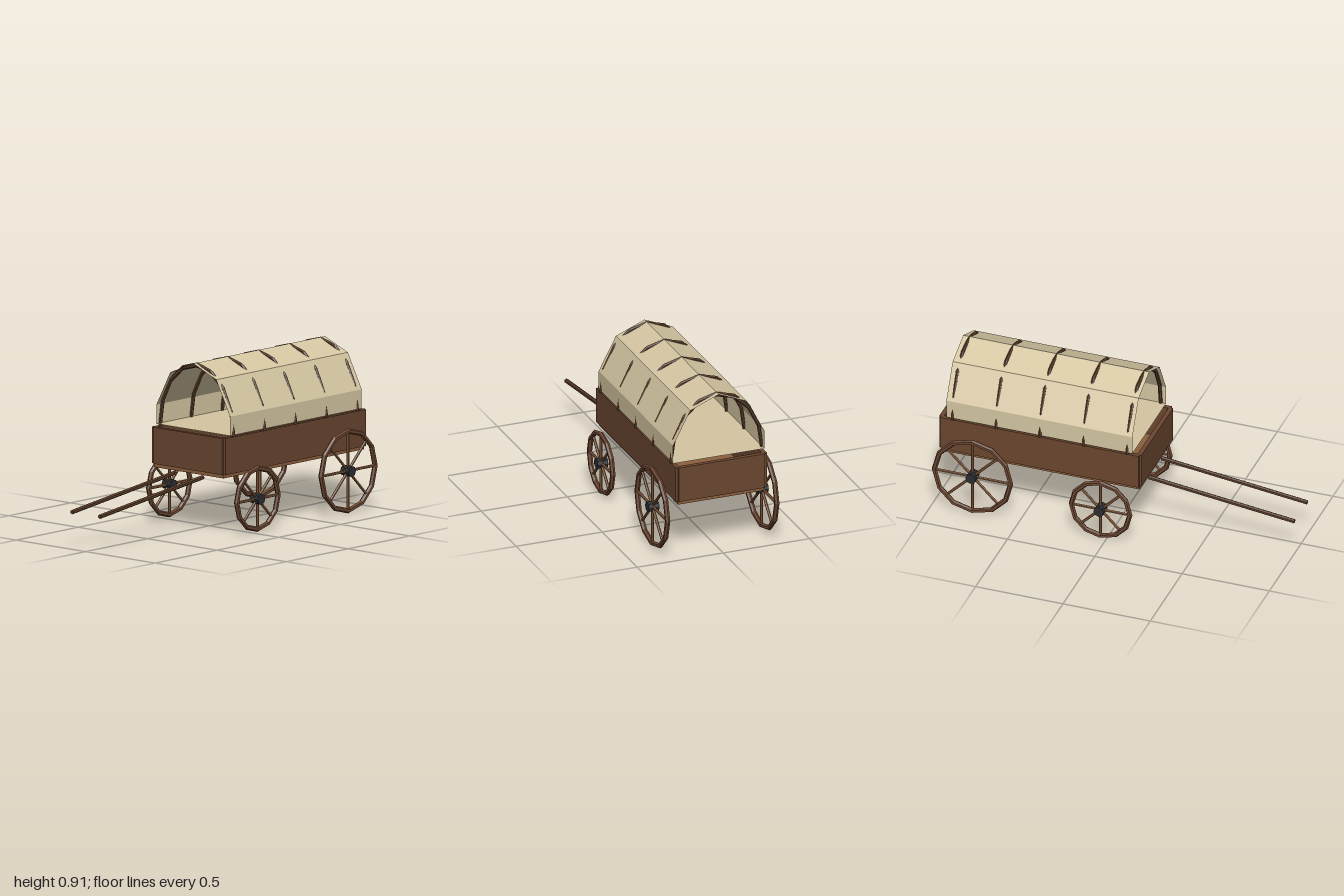
import * as THREE from 'three';

const mat = (color, side = THREE.FrontSide) =>
  new THREE.MeshStandardMaterial({ color, side, flatShading: true });

const wood = mat(0x6b4630);
const lightWood = mat(0x8b5e3c);
const darkWood = mat(0x5a3c28);
const iron = mat(0x2b2d31);
const canvas = mat(0xd6c7a3, THREE.DoubleSide);

function add(parent, name, geometry, material, x = 0, y = 0, z = 0) {
  const mesh = new THREE.Mesh(geometry, material);
  mesh.name = name;
  mesh.position.set(x, y, z);
  parent.add(mesh);
  return mesh;
}

// Round bar between two points
function bar(parent, name, a, b, radius, sides, material) {
  const dir = b.clone().sub(a);
  const mesh = add(parent, name, new THREE.CylinderGeometry(radius, radius, dir.length(), sides), material);
  mesh.position.copy(a).add(b).multiplyScalar(0.5);
  mesh.quaternion.setFromUnitVectors(new THREE.Vector3(0, 1, 0), dir.normalize());
  return mesh;
}

// Twelve-sided spoked wheel, axle along x
function makeWheel(name, radius) {
  const wheel = new THREE.Group();
  wheel.name = name;
  const tube = 0.0145;
  const rimRadius = radius - tube;
  add(wheel, 'rim', new THREE.TorusGeometry(rimRadius, tube, 6, 12).rotateY(Math.PI / 2), wood);
  add(wheel, 'hub', new THREE.CylinderGeometry(0.03, 0.03, 0.06, 8).rotateZ(Math.PI / 2), iron);
  for (let i = 0; i < 8; i++) {
    const a = (i * Math.PI) / 4;
    const end = new THREE.Vector3(0, Math.sin(a), Math.cos(a)).multiplyScalar(rimRadius);
    bar(wheel, 'spoke', new THREE.Vector3(), end, 0.008, 6, lightWood);
  }
  return wheel;
}

// Folded canvas sheet: outline swept along z, with a flat bottom sheet
function makeCover(zFront, zBack) {
  const half = [[0.265, 0.545], [0.265, 0.65], [0.165, 0.84]];
  const outline = [...half, [0, 0.908], ...half.map(([x, y]) => [-x, y]).reverse()];
  const positions = [];
  outline.forEach(([x0, y0], i) => {
    const [x1, y1] = outline[(i + 1) % outline.length];
    positions.push(
      x0, y0, zFront, x0, y0, zBack, x1, y1, zBack,
      x0, y0, zFront, x1, y1, zBack, x1, y1, zFront);
  });
  const geometry = new THREE.BufferGeometry();
  geometry.setAttribute('position', new THREE.Float32BufferAttribute(positions, 3));
  geometry.computeVertexNormals();
  return geometry;
}

export function createModel() {
  const wagon = new THREE.Group();
  wagon.name = 'coveredWagon';

  // Open wagon bed
  const bedZ = -0.402;
  add(wagon, 'bedFloor', new THREE.BoxGeometry(0.5, 0.03, 1.135), lightWood, 0, 0.33, bedZ);
  for (const s of [1, -1]) {
    add(wagon, 'sideBoard', new THREE.BoxGeometry(0.025, 0.2, 1.135), wood, s * 0.2525, 0.435, bedZ);
    add(wagon, 'endBoard', new THREE.BoxGeometry(0.5, 0.2, 0.025), wood, 0, 0.435, bedZ + s * 0.566);
  }

  // Canvas cover and its hoops
  add(wagon, 'canvasCover', makeCover(0.13, -0.935), canvas);
  for (let i = 0; i < 5; i++) {
    const hoop = new THREE.TorusGeometry(0.265, 0.01, 6, 8, Math.PI).scale(1, 1.363, 1);
    add(wagon, 'hoop', hoop, darkWood, 0, 0.535, 0.1 - i * 0.25);
  }

  // Wheels and draw shafts on both sides
  for (const s of [1, -1]) {
    const front = makeWheel('frontWheel', 0.182);
    front.position.set(s * 0.317, 0.185, -0.033);
    const rear = makeWheel('rearWheel', 0.233);
    rear.position.set(s * 0.317, 0.234, -0.766);
    wagon.add(front, rear);
    bar(wagon, 'shaft', new THREE.Vector3(s * 0.1, 0.303, 0.165),
      new THREE.Vector3(s * 0.1, 0.204, 0.999), 0.0125, 6, darkWood);
  }

  return wagon;
}
